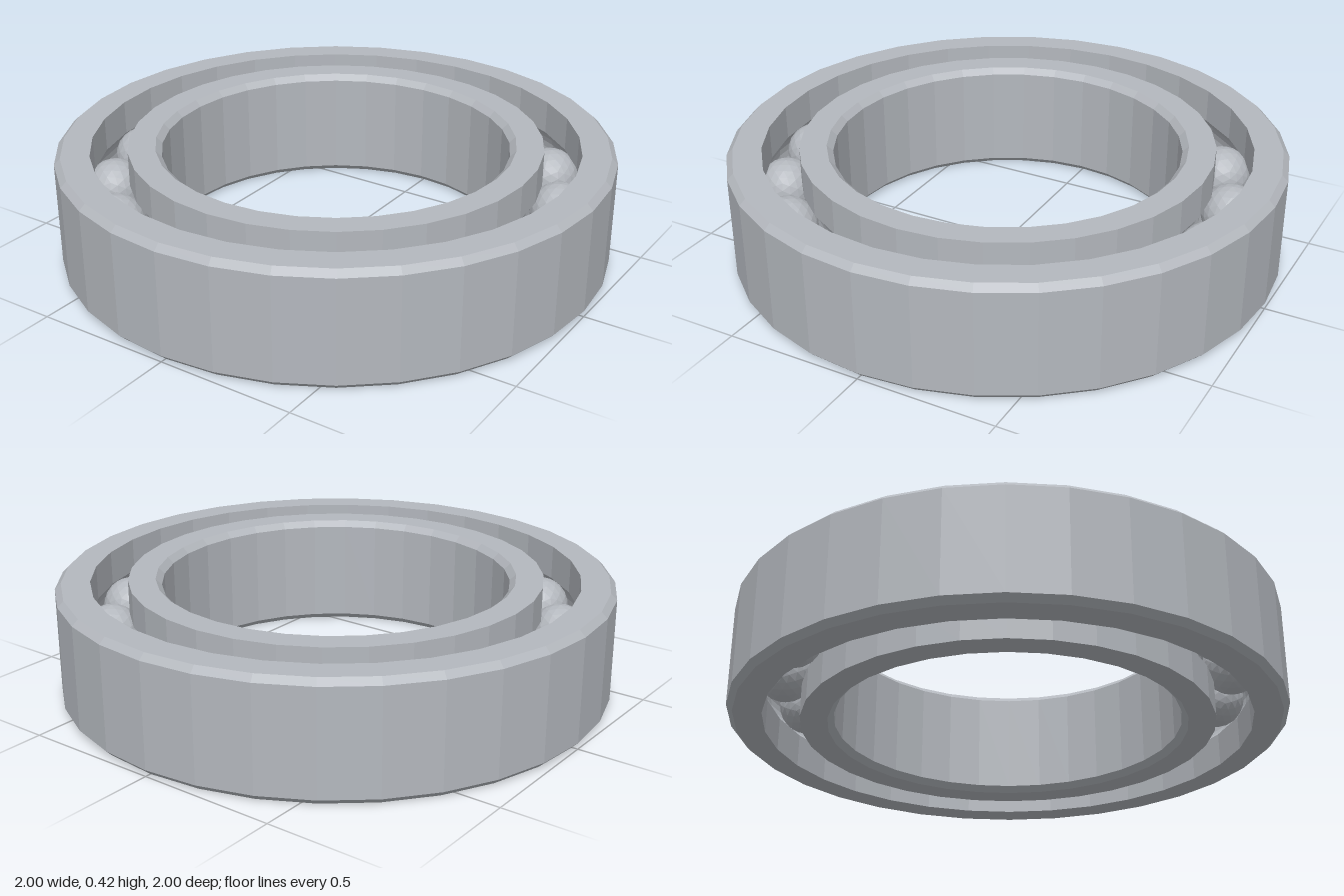
import * as THREE from 'three';

const HEIGHT = 0.418, MID = HEIGHT / 2;
const PITCH = 0.81, BALL_RADIUS = 0.105, BALLS = 17;
const CHAMFER = 0.022, SEGMENTS = 32;

// Arc of the ball groove, from angle a to angle b around the ball centre
function groove(edge, a, b) {
  const points = [];
  for (let i = 0; i <= 8; i++) {
    const t = a + (b - a) * i / 8;
    points.push(new THREE.Vector2(
      PITCH + edge * Math.cos(t) * (BALL_RADIUS + 0.002),
      MID + Math.sin(t) * (BALL_RADIUS + 0.002)));
  }
  return points;
}

export function createModel() {
  const model = new THREE.Group();
  model.name = 'ballBearing';
  const steel = new THREE.MeshStandardMaterial({ color: 0xb4b8be, flatShading: true });
  steel.name = 'steel';
  const v = (x, y) => new THREE.Vector2(x, y);

  const addRing = (name, profile) => {
    const ring = new THREE.Mesh(new THREE.LatheGeometry(profile, SEGMENTS), steel);
    ring.name = name;
    model.add(ring);
  };

  // Outer ring: chamfered outside, grooved inside
  const outerLip = 0.876, innerLip = 0.744, bore = 0.625;
  const spread = Math.acos((outerLip - PITCH) / (BALL_RADIUS + 0.002));
  addRing('outerRing', [
    v(outerLip, 0), v(1 - CHAMFER, 0), v(1, CHAMFER),
    v(1, HEIGHT - CHAMFER), v(1 - CHAMFER, HEIGHT), v(outerLip, HEIGHT),
    ...groove(1, spread, -spread), v(outerLip, 0),
  ]);

  // Inner ring: grooved outside, chamfered bore
  addRing('innerRing', [
    v(bore + CHAMFER, 0), v(innerLip, 0), ...groove(-1, -spread, spread),
    v(innerLip, HEIGHT), v(bore + CHAMFER, HEIGHT),
    v(bore, HEIGHT - CHAMFER), v(bore, CHAMFER), v(bore + CHAMFER, 0),
  ]);

  // Balls, evenly spaced between the rings
  const balls = new THREE.Group();
  balls.name = 'balls';
  const ballGeometry = new THREE.IcosahedronGeometry(BALL_RADIUS, 3);
  for (let i = 0; i < BALLS; i++) {
    const a = i / BALLS * Math.PI * 2;
    const ball = new THREE.Mesh(ballGeometry, steel);
    ball.name = 'ball';
    ball.position.set(PITCH * Math.cos(a), MID, PITCH * Math.sin(a));
    ball.rotation.y = -a;
    balls.add(ball);
  }
  model.add(balls);
  return model;
}
